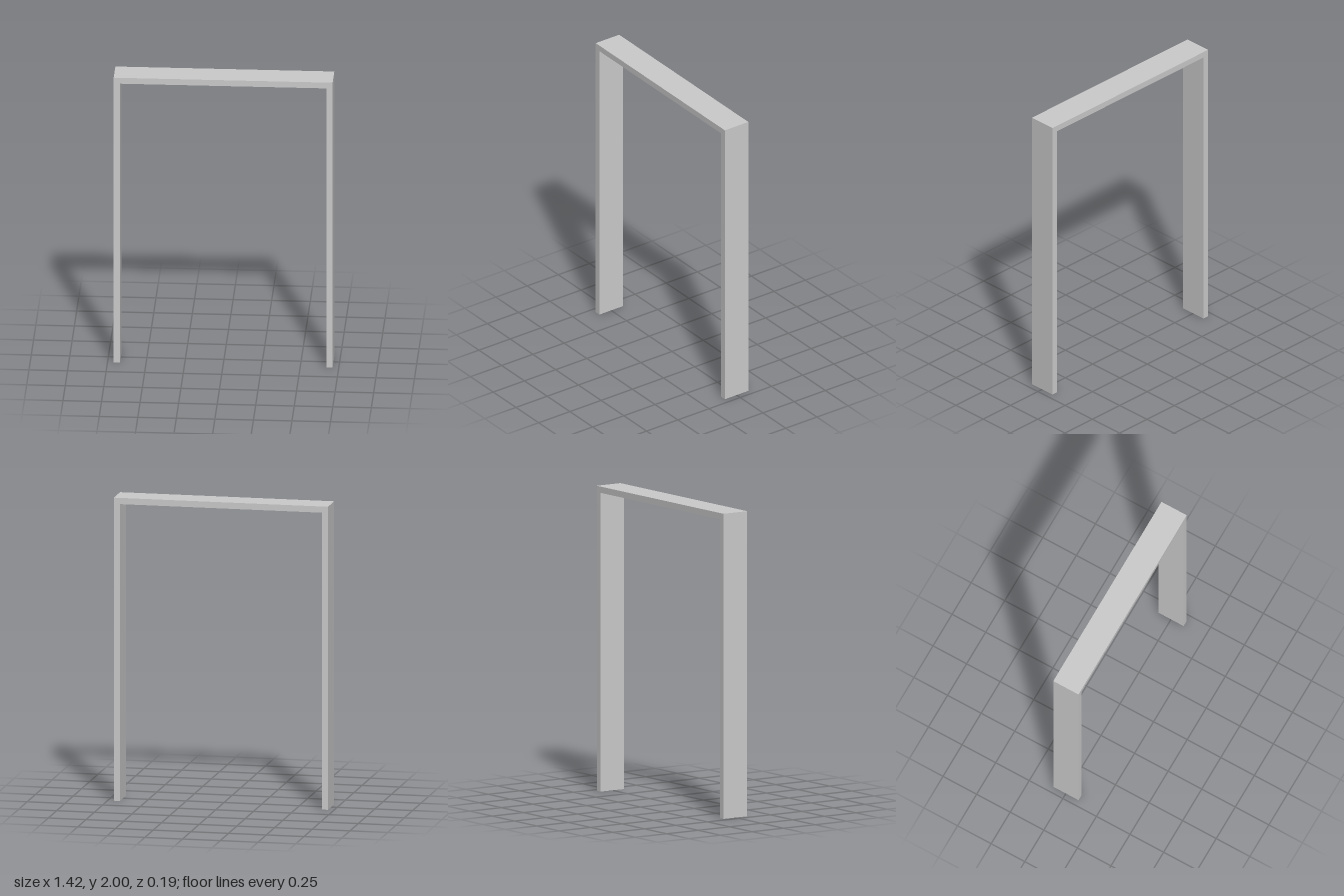
import * as THREE from 'three';

const HALF_WIDTH = 0.71, HEIGHT = 2, THICKNESS = 0.041, DEPTH = 0.188;

export function createModel() {
  const group = new THREE.Group();
  group.name = 'doorFrame';
  const material = new THREE.MeshStandardMaterial({ color: 0xcccccc, flatShading: true });
  const inner = HALF_WIDTH - THICKNESS, under = HEIGHT - THICKNESS;

  // Each board is its front outline, extruded through the wall and centred on z
  const addBoard = (name, points) => {
    const shape = new THREE.Shape(points.map(([x, y]) => new THREE.Vector2(x, y)));
    const geometry = new THREE.ExtrudeGeometry(shape, { depth: DEPTH, bevelEnabled: false });
    geometry.translate(0, 0, -DEPTH / 2);
    const mesh = new THREE.Mesh(geometry, material);
    mesh.name = name;
    group.add(mesh);
  };

  // Side jambs, mitred at the top
  for (const [name, s] of [['leftJamb', 1], ['rightJamb', -1]]) {
    addBoard(name, [
      [s * inner, 0], [s * HALF_WIDTH, 0], [s * HALF_WIDTH, HEIGHT], [s * inner, under],
    ]);
  }

  // Head board, mitred at both ends
  addBoard('headJamb', [
    [-inner, under], [inner, under], [HALF_WIDTH, HEIGHT], [-HALF_WIDTH, HEIGHT],
  ]);

  return group;
}
